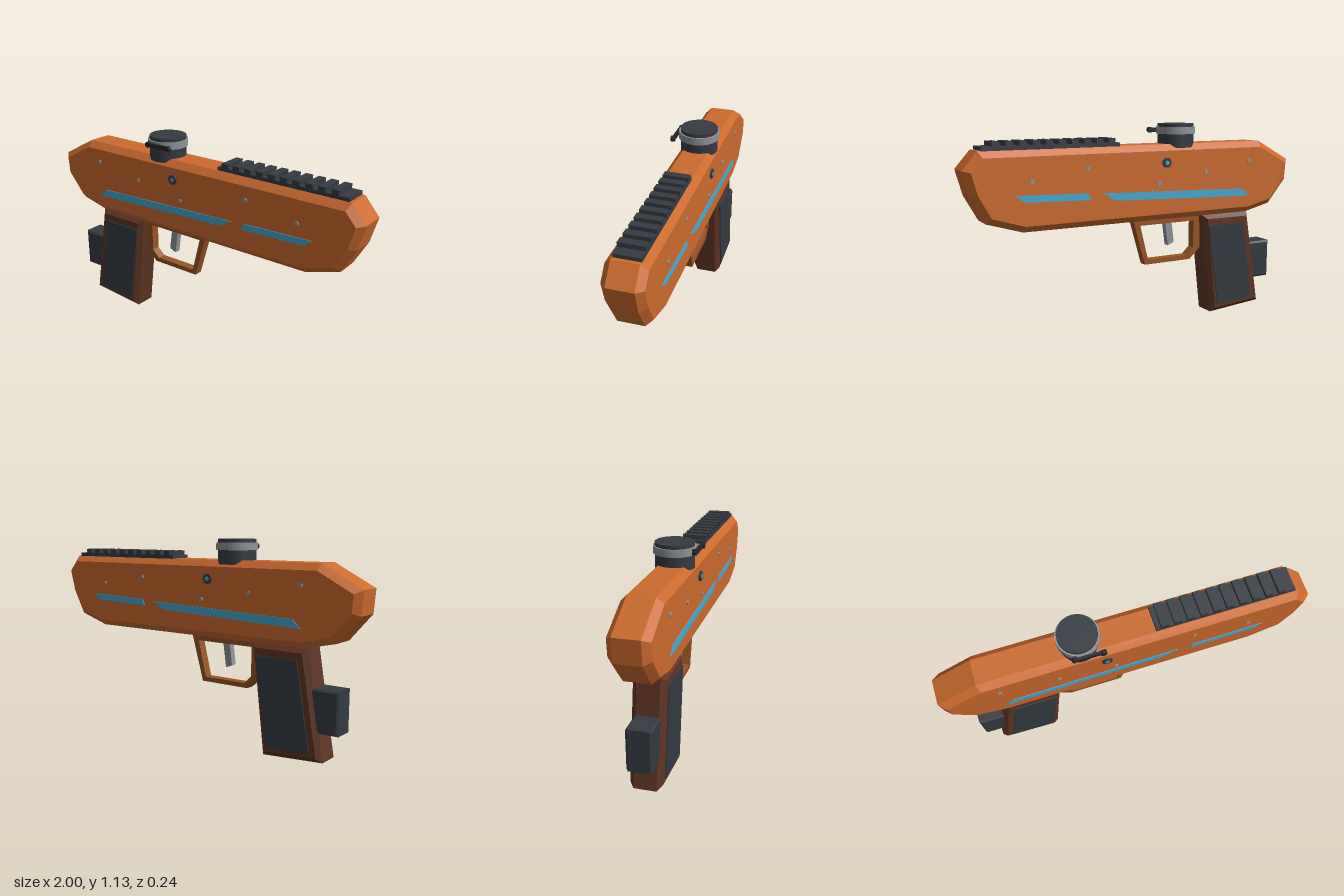
import * as THREE from 'three';

const mat = (name, color) => {
  const m = new THREE.MeshStandardMaterial({ color });
  m.name = name;
  return m;
};

const MID = -0.009; // centre plane of the body

export function createModel() {
  const root = new THREE.Group();
  root.name = 'pistol';
  const orange = mat('orange shell', 0xcb6a2e);
  const brown = mat('brown guard', 0x985424);
  const darkBrown = mat('dark brown grip', 0x603523);
  const dark = mat('dark metal', 0x353b42);
  const black = mat('black trim', 0x22272c);
  const grey = mat('grey metal', 0x8f9498);
  const blue = mat('blue glow', 0x45aad4);

  const add = (name, geo, material, x = 0, y = 0, z = 0) => {
    const mesh = new THREE.Mesh(geo, material);
    mesh.name = name;
    mesh.position.set(x, y, z);
    root.add(mesh);
    return mesh;
  };
  const vecs = (pts) => pts.map(([x, y]) => new THREE.Vector2(x, y));

  // Side outline extruded in z around the middle, with an optional chamfer inside the outline
  const slab = (pts, width, chamfer = 0, hole = null) => {
    const shape = new THREE.Shape(vecs(pts));
    if (hole) shape.holes.push(new THREE.Path(vecs(hole)));
    const depth = width - 2 * chamfer;
    const geo = new THREE.ExtrudeGeometry(shape, {
      depth, bevelEnabled: chamfer > 0, bevelSegments: 1,
      bevelSize: chamfer, bevelThickness: chamfer, bevelOffset: -chamfer,
    });
    return geo.translate(0, 0, -depth / 2);
  };

  // Main shell
  add('body', slab([
    [-1, 0.904], [-0.99, 0.78], [-0.87, 0.64], [-0.7, 0.6], [0.7, 0.6], [0.89, 0.658],
    [0.962, 0.79], [0.998, 0.925], [0.917, 1.018], [-0.78, 1.02],
  ], 0.203, 0.034), orange, 0, 0, MID);

  // Grip with its inlaid panels and rear block
  add('grip', slab([[-0.81, 0.03], [-0.46, 0.004], [-0.39, 0.6], [-0.712, 0.6]], 0.168, 0.025),
    darkBrown, 0, 0, MID);
  const panel = slab([[-0.745, 0.07], [-0.495, 0.053], [-0.42, 0.535], [-0.666, 0.535]], 0.008);
  for (const s of [1, -1]) add('gripPanel', panel, dark, 0, 0, MID + s * 0.0865);
  add('rearBlock', slab([[-0.888, 0.178], [-0.7, 0.178], [-0.7, 0.403], [-0.888, 0.403]], 0.13, 0.01),
    dark, 0, 0, MID);

  // Trigger guard and trigger
  add('triggerGuard', slab(
    [[-0.4, 0.61], [-0.4, 0.4], [-0.33, 0.337], [-0.03, 0.337], [0.048, 0.61]], 0.05, 0,
    [[-0.355, 0.565], [0, 0.565], [-0.05, 0.363], [-0.31, 0.363], [-0.355, 0.405]],
  ), brown, 0, 0, MID);
  add('trigger', slab([[-0.225, 0.45], [-0.185, 0.433], [-0.16, 0.61], [-0.203, 0.61]], 0.036),
    grey, 0, 0, MID);

  // Top rail with evenly spaced teeth
  add('railBase', new THREE.BoxGeometry(0.75, 0.025, 0.133), dark, 0.525, 1.0245, -0.012);
  const tooth = new THREE.BoxGeometry(0.04, 0.025, 0.133);
  for (let i = 0; i < 10; i++) add('railTooth', tooth, dark, 0.195 + i * 0.07, 1.048, -0.012);

  // Round sight: drum, collar, cap and side lever
  const drum = (r, y0, y1) => new THREE.CylinderGeometry(r, r, y1 - y0, 32).translate(0, (y0 + y1) / 2, 0);
  add('sightBase', drum(0.102, 0.998, 1.075), dark, -0.24, 0, MID);
  const collar = add('sightCollar', drum(0.111, 1.073, 1.112).toNonIndexed(), grey, -0.24, 0, MID);
  collar.geometry.computeVertexNormals();
  add('sightCap', drum(0.102, 1.11, 1.13), dark, -0.24, 0, MID);
  add('sightLever', new THREE.BoxGeometry(0.155, 0.024, 0.014), black, -0.218, 1.091, 0.109);
  const knob = new THREE.CylinderGeometry(0.016, 0.016, 0.022, 12).rotateX(Math.PI / 2);
  add('leverKnob', knob, black, -0.141, 1.091, 0.111);
  add('leverPivot', knob, black, -0.284, 1.091, 0.105);

  // Painted stripes, round lamp and screws on both sides
  const stripes = [
    [[-0.69, 0.7], [0.19, 0.731], [0.27, 0.775], [-0.645, 0.745]],
    [[0.335, 0.745], [0.7, 0.757], [0.748, 0.793], [0.352, 0.781]],
  ].map((p) => slab(p, 0.008));
  const screws = [[-0.687, 0.91], [-0.382, 0.86], [-0.077, 0.807], [0.352, 0.91], [0.655, 0.86]];
  const disc = (r, h) => new THREE.CylinderGeometry(r, r, h, 16).rotateX(Math.PI / 2);
  const screw = disc(0.012, 0.012), lampRim = disc(0.027, 0.02), lampLens = disc(0.012, 0.006);
  for (const s of [1, -1]) {
    const z = MID + s * 0.1015;
    for (const g of stripes) add('stripe', g, blue, 0, 0, z);
    for (const [x, y] of screws) add('screw', screw, grey, x, y, z);
    add('lampRim', lampRim, dark, -0.122, 0.92, z);
    add('lampLens', lampLens, blue, -0.122, 0.92, z + s * 0.009);
  }

  return root;
}
